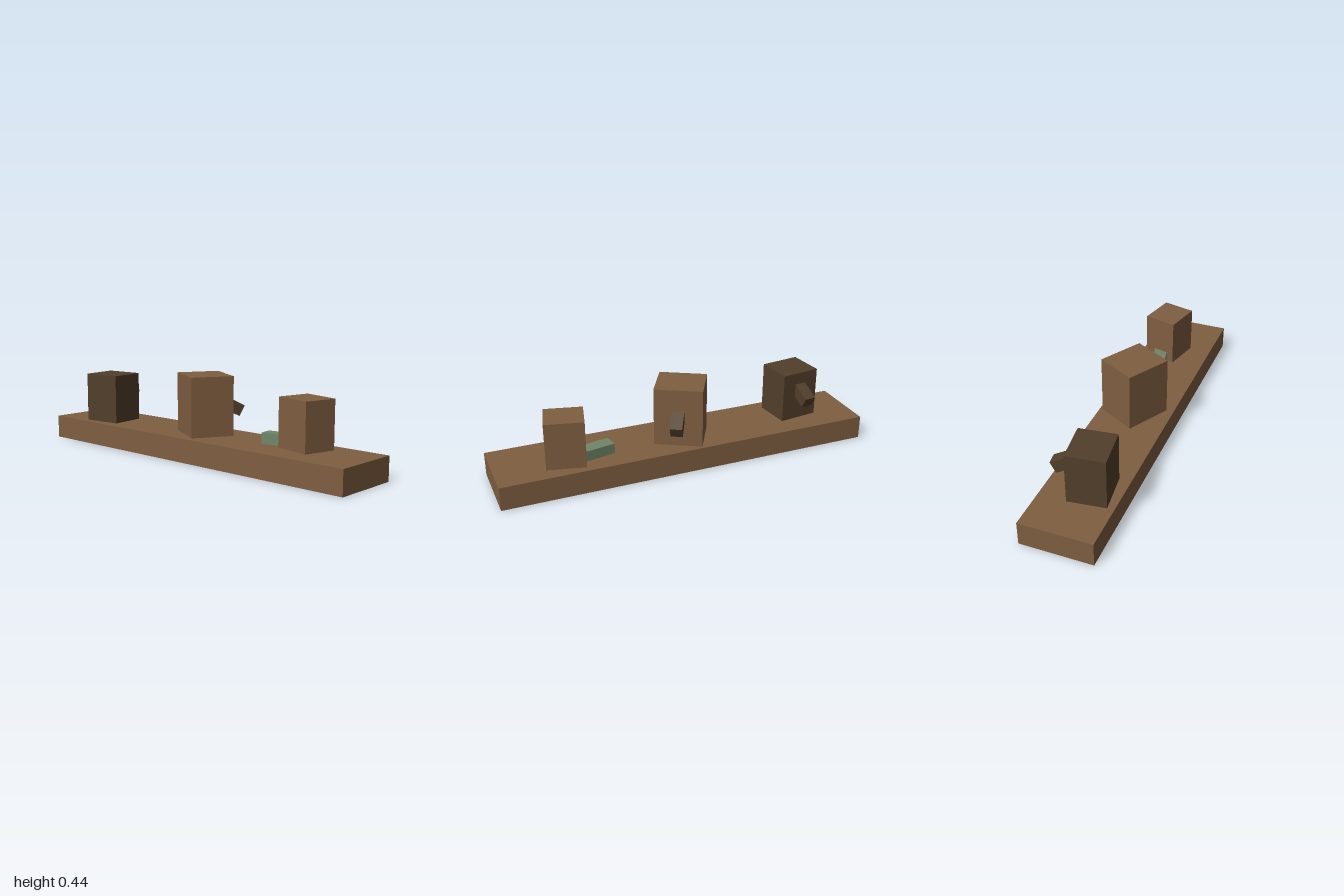
import * as THREE from 'three';

function material(name, color, side = THREE.FrontSide) {
  const m = new THREE.MeshStandardMaterial({ color, side });
  m.name = name;
  return m;
}

function box(name, size, position, mat) {
  const mesh = new THREE.Mesh(new THREE.BoxGeometry(...size), mat);
  mesh.name = name;
  mesh.position.set(...position);
  return mesh;
}

export function createModel() {
  const brown = material('brown', 0x7f5e41, THREE.DoubleSide);
  const darkBrown = material('dark brown', 0x523f2b);
  const green = material('grey green', 0x718669);

  const group = new THREE.Group();
  group.name = 'plankWithBlocks';
  const deckY = 0.125;

  // Hollow plank: a thin shell, open underneath
  const plank = box('plank', [2, deckY, 0.375], [0, deckY / 2, 0.0125], brown);
  const index = Array.from(plank.geometry.index.array);
  index.splice(18, 6); // drop the bottom face
  plank.geometry.setIndex(index);
  plank.geometry.clearGroups();
  group.add(plank);

  // Upright blocks; some have a peg sloping down from the middle of the back
  const blocks = [
    { name: 'rightBlock', x: -0.67, z: 0.054, w: 0.214, d: 0.196, top: 0.39, turn: 7.2, mat: darkBrown, pegY: 0.275 },
    { name: 'middleBlock', x: 0, z: 0, w: 0.252, d: 0.226, top: 0.435, turn: -29, mat: brown, pegY: 0.265 },
    { name: 'leftBlock', x: 0.632, z: -0.03, w: 0.2, d: 0.178, top: 0.373, turn: -13.6, mat: brown },
  ];
  const pegLength = 0.14, pegSize = 0.0625, tilt = THREE.MathUtils.degToRad(28);
  for (const b of blocks) {
    const holder = new THREE.Group();
    holder.name = b.name;
    holder.position.set(b.x, 0, b.z);
    holder.rotation.y = THREE.MathUtils.degToRad(b.turn);
    const h = b.top - deckY;
    holder.add(box(b.name + 'Body', [b.w, h, b.d], [0, deckY + h / 2, 0], b.mat));

    if (b.pegY) {
      // Found from the upper edge of the peg's outer end
      const c = Math.cos(tilt), s = Math.sin(tilt);
      const y = b.pegY - (pegSize / 2) * c + (pegLength / 2) * s;
      const z = -(b.d / 2 + 0.097) + (pegSize / 2) * s + (pegLength / 2) * c;
      const peg = box(b.name + 'Peg', [pegSize, pegSize, pegLength], [0, y, z], darkBrown);
      peg.rotation.x = -tilt;
      holder.add(peg);
    }
    group.add(holder);
  }

  // Low slab lying against the left block
  const slab = box('greenSlab', [0.17, 0.055, 0.074], [0.474, deckY + 0.0275, -0.033], green);
  slab.rotation.y = THREE.MathUtils.degToRad(11);
  group.add(slab);

  return group;
}
